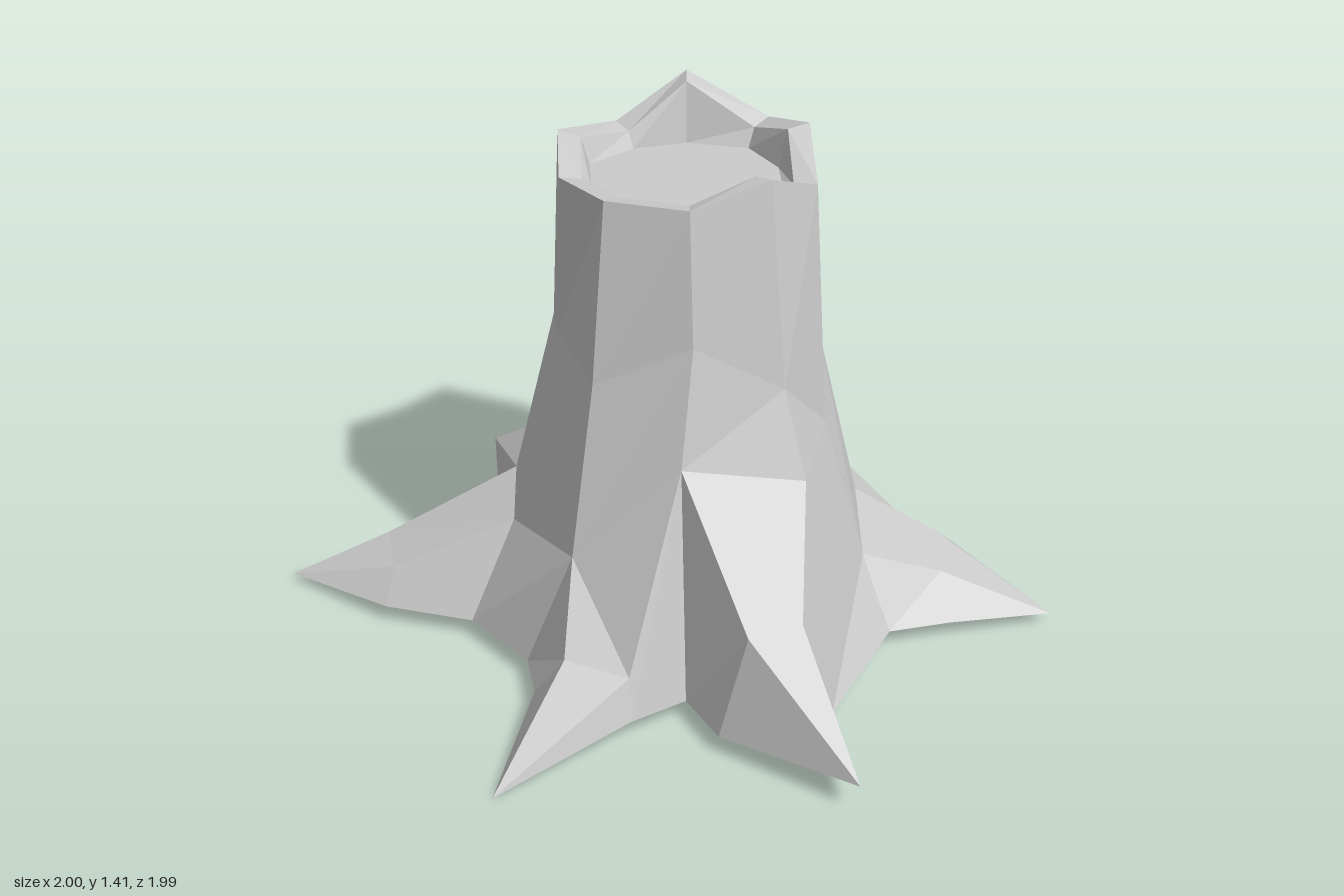
import * as THREE from 'three';

const wood = new THREE.MeshStandardMaterial({ color: 0xcccccc, flatShading: true });
wood.name = 'grey wood';

// Build a faceted mesh from triangles, dropping collapsed ones
function facets(name, tris) {
  const same = (a, b) => a.every((v, i) => v === b[i]);
  const kept = tris.filter(([a, b, c]) => !same(a, b) && !same(b, c) && !same(a, c));
  const geo = new THREE.BufferGeometry();
  geo.setAttribute('position', new THREE.Float32BufferAttribute(kept.flat(2), 3));
  geo.computeVertexNormals();
  const mesh = new THREE.Mesh(geo, wood);
  mesh.name = name;
  return mesh;
}

// Join closed loops of equal length, ordered from the centre outwards
function loft(rings) {
  const tris = [];
  for (let r = 0; r + 1 < rings.length; r++) {
    const p = rings[r], q = rings[r + 1], n = p.length;
    for (let i = 0; i < n; i++) {
      const j = (i + 1) % n;
      tris.push([p[i], p[j], q[j]], [p[i], q[j], q[i]]);
    }
  }
  return tris;
}

// Trunk loops, clockwise from the back: [x, y, z]
const rim = [
  [0.12, 1.41, -0.33], [0.32, 1.3, -0.24], [0.38, 1.35, -0.05], [0.35, 1.27, 0.16], [0.2, 1.35, 0.3],
  [0, 1.29, 0.31], [-0.19, 1.29, 0.21], [-0.27, 1.28, 0.02], [-0.24, 1.32, -0.2], [-0.07, 1.29, -0.31],
];
const waist = [
  [0.13, 1.05, -0.4], [0.35, 0.72, -0.28], [0.41, 0.82, -0.05], [0.38, 0.63, 0.2], [0.23, 0.82, 0.36],
  [0, 0.95, 0.36], [-0.23, 0.82, 0.25], [-0.28, 0.85, 0.01], [-0.26, 0.8, -0.21], [-0.08, 1.0, -0.39],
];
const low = [
  [0.15, 0.36, -0.5], [0.42, 0.38, -0.35], [0.55, 0.25, -0.07], [0.49, 0.23, 0.23], [0.27, 0.6, 0.44],
  [-0.04, 0.65, 0.42], [-0.3, 0.37, 0.32], [-0.41, 0.31, 0.01], [-0.37, 0.32, -0.25], [-0.16, 0.34, -0.5],
];

// A root spans trunk points i and j: two shoulder points a and b, a tip,
// and the ground points [x, z] on either side of it
const G = 0.05;
const ground = ([x, z]) => [x, G, z];
function root({ i, j, a = low[i], b = low[j], tip, before, after }) {
  const cols = [];
  before.forEach((p, k) => cols.push([low[i], k === 0 && before.length > 1 ? low[i] : a, ground(p)]));
  cols.push([low[i], a, tip], [low[j], b, tip]);
  after.forEach((p, k) => cols.push([low[j], k > 0 || after.length === 1 ? low[j] : b, ground(p)]));
  return cols;
}
const roots = [
  { i: 0, j: 1, a: [0.4, 0.19, -0.67], b: [0.56, 0.24, -0.6], tip: [0.56, 0.05, -1],
    before: [[0.11, -0.58], [0.33, -0.68]], after: [[0.62, -0.53], [0.53, -0.32]] },
  { i: 2, j: 3, a: [0.75, 0.16, 0.04], b: [0.71, 0.15, 0.23], tip: [1, 0.03, 0.31],
    before: [[0.74, -0.21], [0.84, -0.06]], after: [[0.71, 0.33], [0.54, 0.34]] },
  { i: 4, j: 5, a: [0.21, 0.34, 0.68], b: [0.07, 0.33, 0.7], tip: [0.28, 0.08, 0.99],
    before: [[0.3, 0.66]], after: [[0, 0.7], [-0.05, 0.54]] },
  { i: 6, j: 6, a: [-0.2, 0.16, 0.57], b: [-0.35, 0.18, 0.49], tip: [-0.57, 0, 0.77],
    before: [[-0.2, 0.6]], after: [[-0.42, 0.43], [-0.42, 0.29]] },
  { i: 7, j: 8, a: [-0.73, 0.13, -0.1], b: [-0.73, 0.15, -0.25], tip: [-1, 0.02, -0.29],
    before: [[-0.54, 0.08], [-0.76, -0.03]], after: [[-0.68, -0.31], [-0.41, -0.35]] },
  { i: 8, j: 9, tip: [-0.36, 0.05, -0.9], before: [], after: [[0.11, -0.58]] },
];

export function createModel() {
  const stump = new THREE.Group();
  stump.name = 'treeStump';

  // Trunk bark
  stump.add(facets('trunk', loft([rim, waist, low])));

  // Spreading roots
  const columns = roots.flatMap(root);
  stump.add(facets('roots', loft([0, 1, 2].map((k) => columns.map((c) => c[k])))));

  // Broken rim and sunken cut face
  const shrink = (s, height) => rim.map(([x, y, z]) => [0.055 + (x - 0.055) * s, height(y), z * s]);
  const inner = shrink(0.82, (y) => y - 0.01);
  const floor = shrink(0.75, () => 1.24);
  const centre = rim.map(() => [0.055, 1.24, 0]);
  stump.add(facets('rim', loft([floor, inner, rim])));
  stump.add(facets('cutFace', loft([centre, floor])));

  // Underside
  const outline = columns.map((c) => c[2]).filter((p, i, all) => {
    const q = all[(i + 1) % all.length];
    return p[0] !== q[0] || p[2] !== q[2];
  });
  const faces = THREE.ShapeUtils.triangulateShape(outline.map((p) => new THREE.Vector2(p[0], p[2])), []);
  const under = faces.map(([a, b, c]) => {
    const [p, q, r] = [outline[a], outline[b], outline[c]];
    const up = (q[2] - p[2]) * (r[0] - p[0]) - (q[0] - p[0]) * (r[2] - p[2]);
    return up > 0 ? [p, r, q] : [p, q, r];
  });
  stump.add(facets('underside', under));
  return stump;
}
